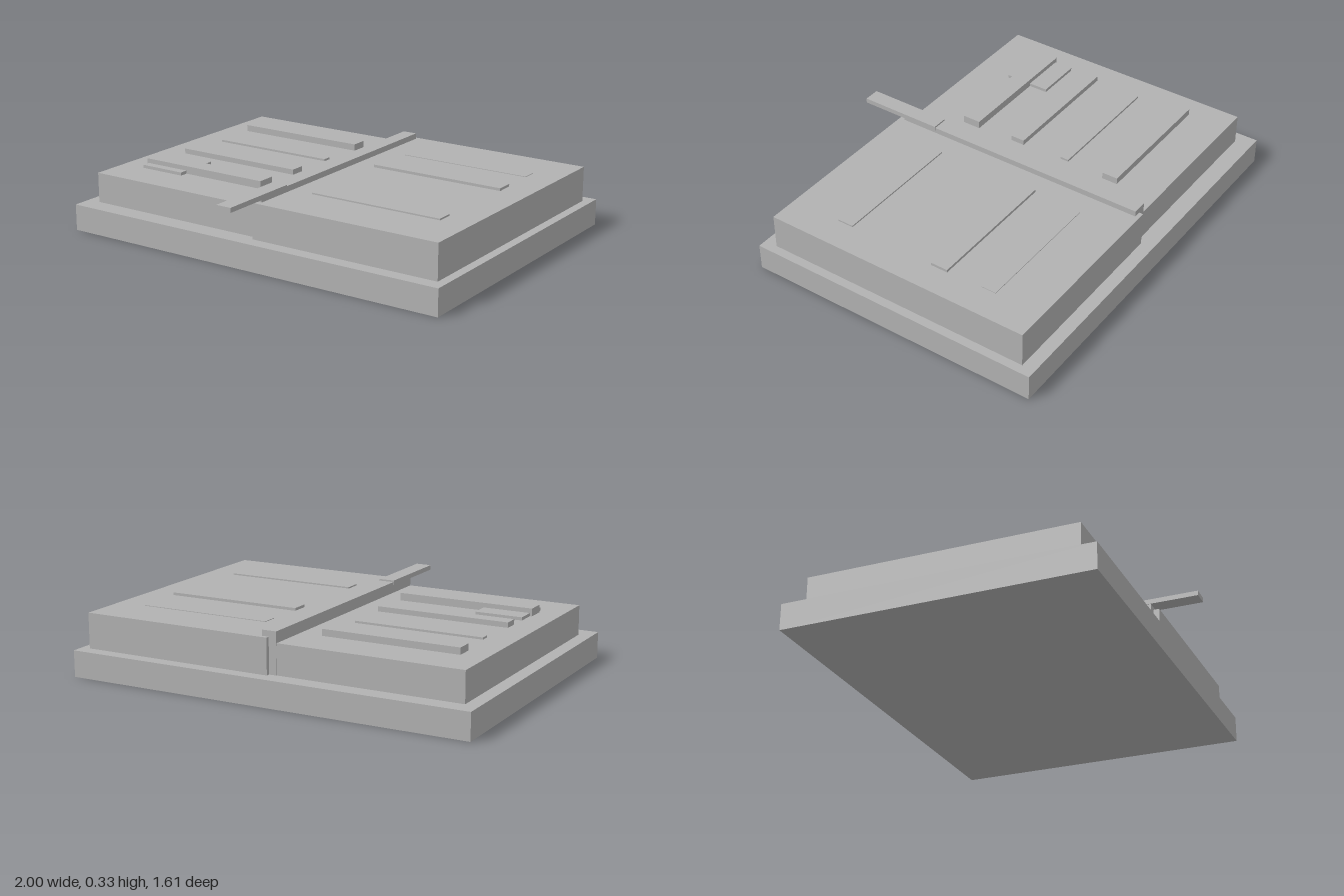
import * as THREE from 'three';

export function createModel() {
  const model = new THREE.Group();
  model.name = 'openBook';
  const grey = new THREE.MeshStandardMaterial({ color: 0xb2b2b2 });
  grey.name = 'grey';

  // Box given by its limits on each axis
  function block(name, x0, x1, y0, y1, z0, z1, parent = model) {
    const mesh = new THREE.Mesh(new THREE.BoxGeometry(x1 - x0, y1 - y0, z1 - z0), grey);
    mesh.position.set((x0 + x1) / 2, (y0 + y1) / 2, (z0 + z1) / 2);
    mesh.name = name;
    parent.add(mesh);
  }

  // Cover, the two page stacks and the raised spine
  block('cover', -1, 1, 0, 0.127, -0.805, 0.67);
  block('rightPages', -0.935, -0.038, 0.127, 0.272, -0.72, 0.576);
  block('leftPages', 0, 0.957, 0.127, 0.297, -0.742, 0.604);
  block('spine', -0.038, 0.034, 0.127, 0.325, -0.723, 0.576);

  // Bookmark reaching past the front edge
  block('bookmark', -0.04, 0.038, 0.31, 0.333, 0.39, 0.805);

  // Raised text lines: x0, x1, z0, z1, top
  const lines = new THREE.Group();
  lines.name = 'textLines';
  model.add(lines);
  const rightLines = [
    [-0.817, -0.147, -0.515, -0.436, 0.304],
    [-0.797, -0.163, -0.238, -0.196, 0.282],
    [-0.81, -0.153, 0.008, 0.079, 0.297],
    [-0.822, -0.143, 0.26, 0.35, 0.309],
  ];
  const leftLines = [
    [0.15, 0.81, -0.505, -0.432, 0.3],
    [0.14, 0.818, -0.257, -0.172, 0.31],
    [0.145, 0.812, 0.268, 0.348, 0.304],
  ];
  for (const [x0, x1, z0, z1, top] of rightLines) block('rightTextLine', x0, x1, 0.265, top, z0, z1, lines);
  for (const [x0, x1, z0, z1, top] of leftLines) block('leftTextLine', x0, x1, 0.29, top, z0, z1, lines);

  // Low plate crossing the last line
  block('pageTab', -0.812, -0.58, 0.265, 0.287, 0.165, 0.39);

  return model;
}
